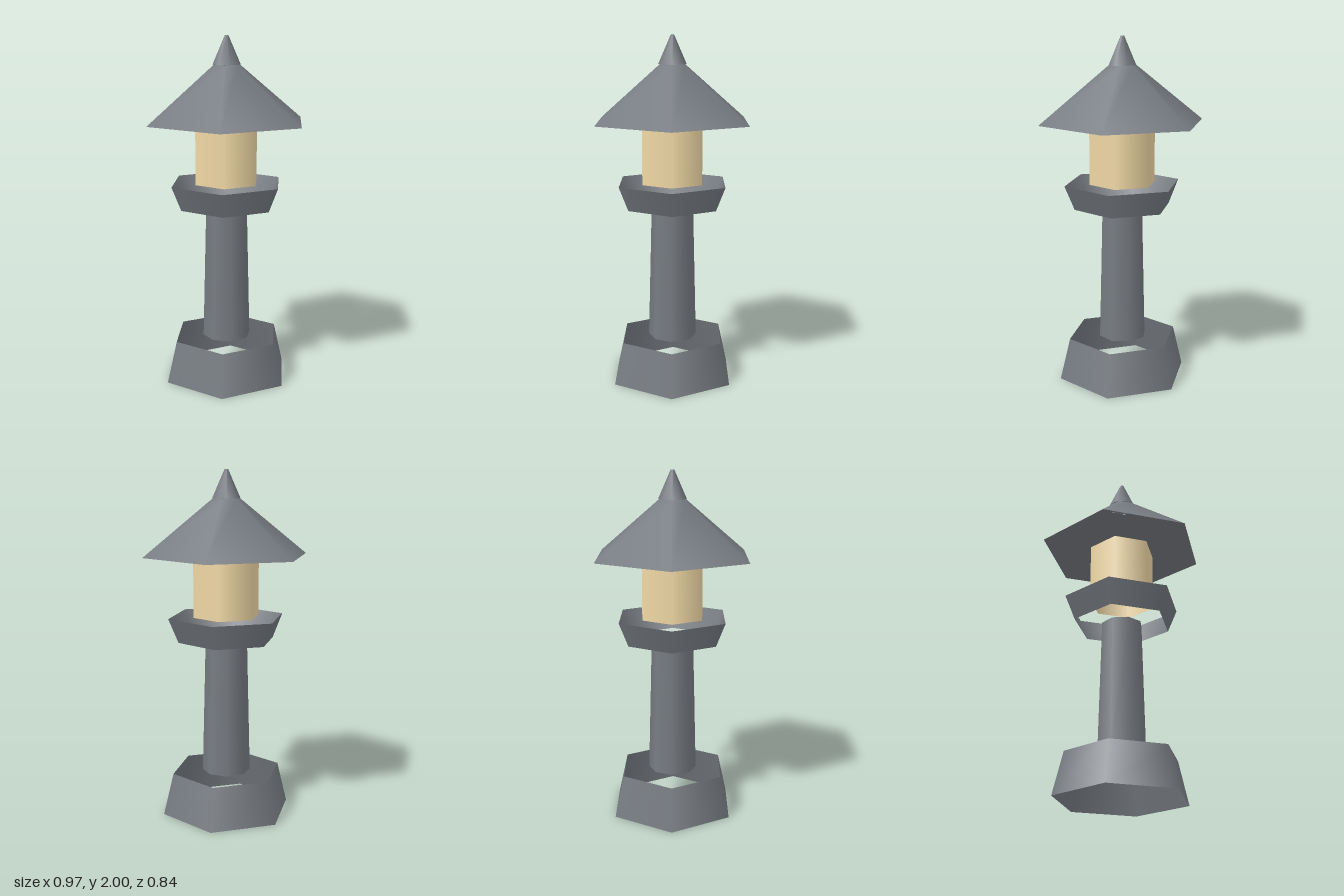
import * as THREE from 'three';

export function createModel() {
  const model = new THREE.Group();
  model.name = 'stoneLantern';
  const stone = new THREE.MeshStandardMaterial({ color: 0x777c82, side: THREE.DoubleSide });
  const glow = new THREE.MeshStandardMaterial({ color: 0xf5dca8, side: THREE.DoubleSide });

  // Open tapered tube with a corner on the x axis
  function tube(name, y0, y1, r0, r1, sides, material) {
    const geometry = new THREE.CylinderGeometry(r1, r0, y1 - y0, sides, 1, true, Math.PI / 2);
    const mesh = new THREE.Mesh(geometry, material);
    mesh.name = name;
    mesh.position.y = (y0 + y1) / 2;
    model.add(mesh);
  }

  tube('base', 0, 0.245, 0.385, 0.325, 6, stone);
  tube('shaft', 0.245, 1.03, 0.14, 0.12, 8, stone);
  tube('platform', 1.03, 1.17, 0.285, 0.343, 6, stone);
  tube('lightChamber', 1.17, 1.52, 0.195, 0.195, 6, glow);
  tube('roof', 1.52, 1.84, 0.485, 0.08, 6, stone);
  tube('finial', 1.84, 2, 0.08, 0.01, 8, stone);

  return model;
}
